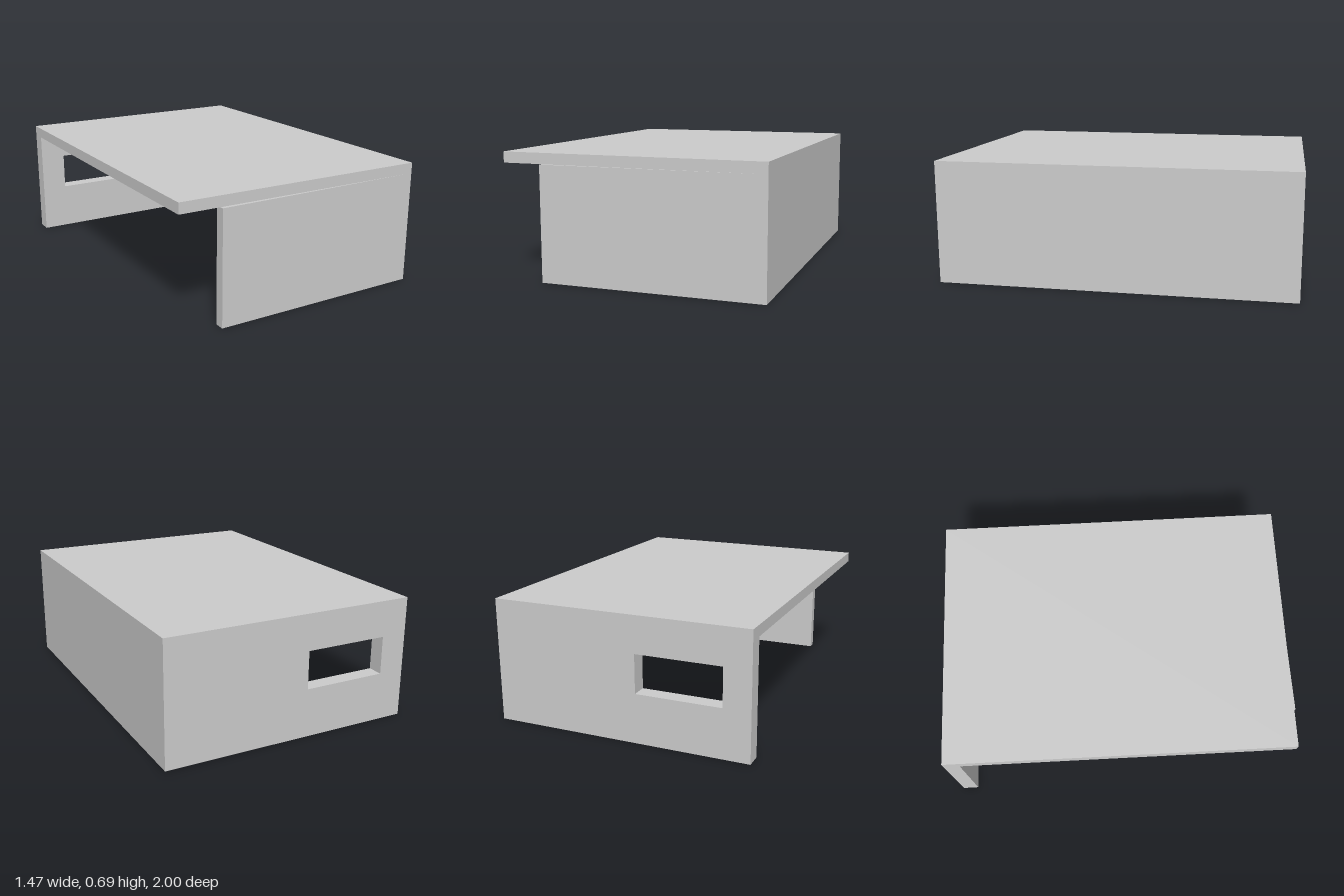
import * as THREE from 'three';

const material = new THREE.MeshStandardMaterial({ color: 0xcccccc, flatShading: true });
const HEIGHT = 0.695, CEILING = 0.635;

// Upright prism from a plan outline given as [x, z] corners
function slab(name, plan, y0, y1) {
  const shape = new THREE.Shape(plan.map(([x, z]) => new THREE.Vector2(x, -z)));
  const geometry = new THREE.ExtrudeGeometry(shape, { depth: y1 - y0, bevelEnabled: false });
  geometry.rotateX(-Math.PI / 2).translate(0, y0, 0);
  const mesh = new THREE.Mesh(geometry, material);
  mesh.name = name;
  return mesh;
}

// Rectangular outline used for the back wall and its window
function rectangle(Type, x0, y0, x1, y1) {
  const path = new Type();
  path.moveTo(x0, y0).lineTo(x1, y0).lineTo(x1, y1).lineTo(x0, y1).closePath();
  return path;
}

export function createModel() {
  const model = new THREE.Group();
  model.name = 'shelter';

  // Flat roof, its front edge slightly skewed
  model.add(slab('roof', [[-0.735, 0.975], [0.73, 1], [0.73, -1], [-0.73, -1]], CEILING, HEIGHT));

  // Solid side wall and the shorter front wall
  model.add(slab('sideWall', [[0.675, 1], [0.73, 1], [0.73, -0.91], [0.68, -0.91]], 0, CEILING));
  model.add(slab('frontWall', [[-0.505, 1], [0.675, 1], [0.675, 0.945], [-0.505, 0.945]], 0, CEILING));

  // Back wall with a window opening
  const wall = rectangle(THREE.Shape, -0.73, 0, 0.73, CEILING);
  wall.holes.push(rectangle(THREE.Path, -0.58, 0.275, -0.1, 0.49));
  const backWall = new THREE.Mesh(
    new THREE.ExtrudeGeometry(wall, { depth: 0.09, bevelEnabled: false }).translate(0, 0, -1),
    material
  );
  backWall.name = 'backWall';
  model.add(backWall);

  return model;
}
